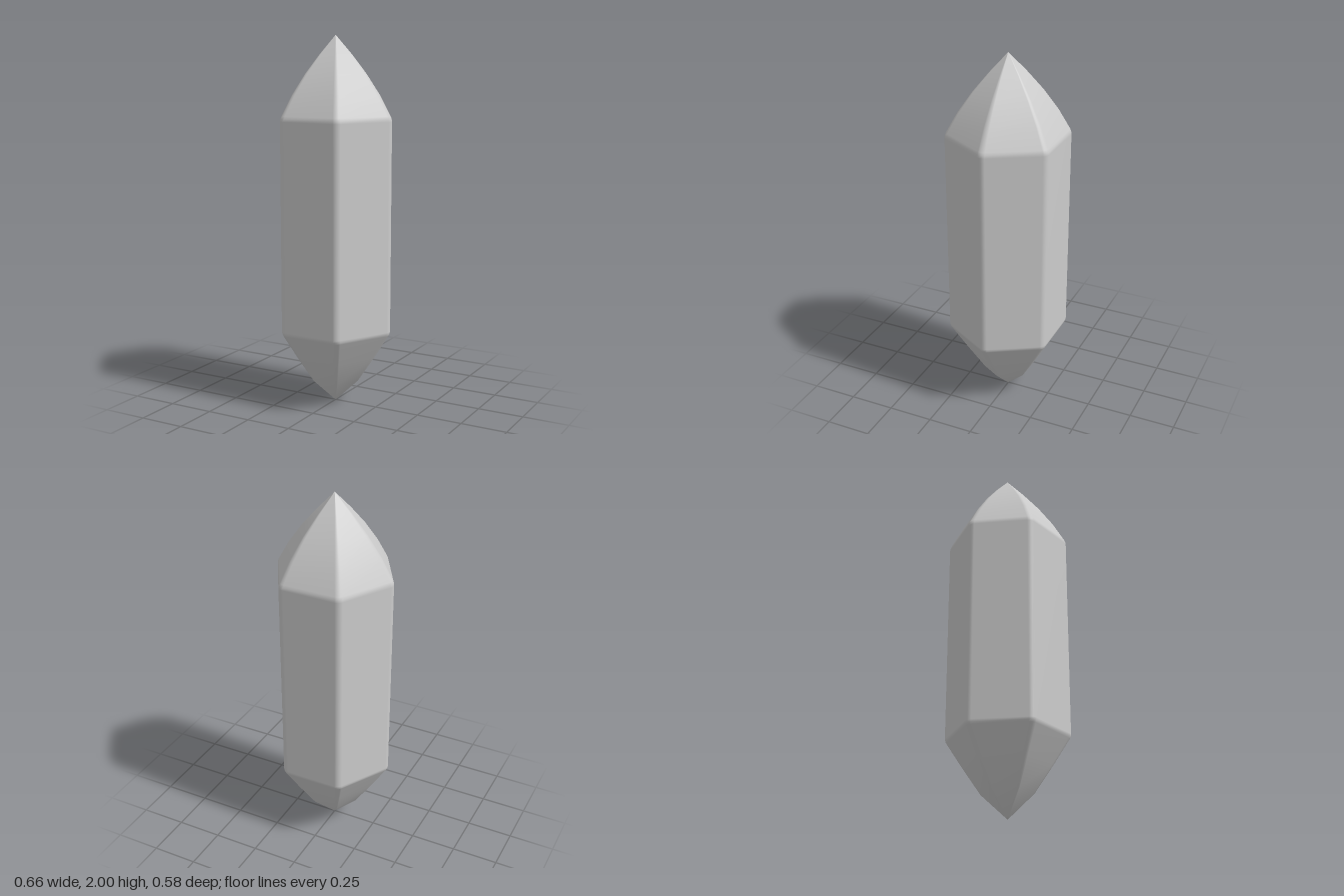
import * as THREE from 'three';

const APOTHEM = 0.29; // centre to flat side
const ROUND = 0.04;   // corner radius
const ARC_STEPS = 4;

// Rounded hexagon with corners on +x and -x, listed from +x towards +z
function hexagonOutline() {
  const points = [];
  const corner = (APOTHEM - ROUND) / Math.cos(Math.PI / 6);
  for (let i = 0; i < 6; i++) {
    const mid = (i * Math.PI) / 3;
    for (let j = 0; j <= ARC_STEPS; j++) {
      const a = mid + (j / ARC_STEPS - 0.5) * (Math.PI / 3);
      points.push([
        corner * Math.cos(mid) + ROUND * Math.cos(a),
        corner * Math.sin(mid) + ROUND * Math.sin(a),
      ]);
    }
  }
  return points;
}

// Height and scale of each ring, from the lower tip to the upper tip
const PROFILE = [
  [0.012, 0.042], [0.13, 0.42], [0.275, 0.715],
  [0.41, 0.975], [0.421, 0.993], [0.434, 1],
  [1.555, 1], [1.57, 0.993], [1.584, 0.975],
  [1.69, 0.79], [1.8, 0.55], [1.9, 0.29], [1.988, 0.035],
];

function crystalGeometry() {
  const outline = hexagonOutline();
  const n = outline.length;
  const positions = [];
  const index = [];
  for (const [y, s] of PROFILE) {
    for (const [x, z] of outline) positions.push(x * s, y, z * s);
  }
  const bottom = positions.length / 3;
  const top = bottom + 1;
  positions.push(0, 0, 0, 0, 2, 0);

  const last = (PROFILE.length - 1) * n;
  for (let i = 0; i < n; i++) {
    const k = (i + 1) % n;
    for (let r = 0; r < last; r += n) {
      index.push(r + i, r + n + i, r + k, r + k, r + n + i, r + n + k);
    }
    index.push(bottom, i, k, top, last + k, last + i);
  }

  const geometry = new THREE.BufferGeometry();
  geometry.setAttribute('position', new THREE.Float32BufferAttribute(positions, 3));
  geometry.setIndex(index);
  geometry.computeVertexNormals();
  return geometry;
}

export function createModel() {
  const group = new THREE.Group();
  group.name = 'crystal';
  const grey = new THREE.MeshStandardMaterial({ color: 0xcccccc });
  grey.name = 'light grey';
  const body = new THREE.Mesh(crystalGeometry(), grey);
  body.name = 'crystalBody';
  group.add(body);
  return group;
}
